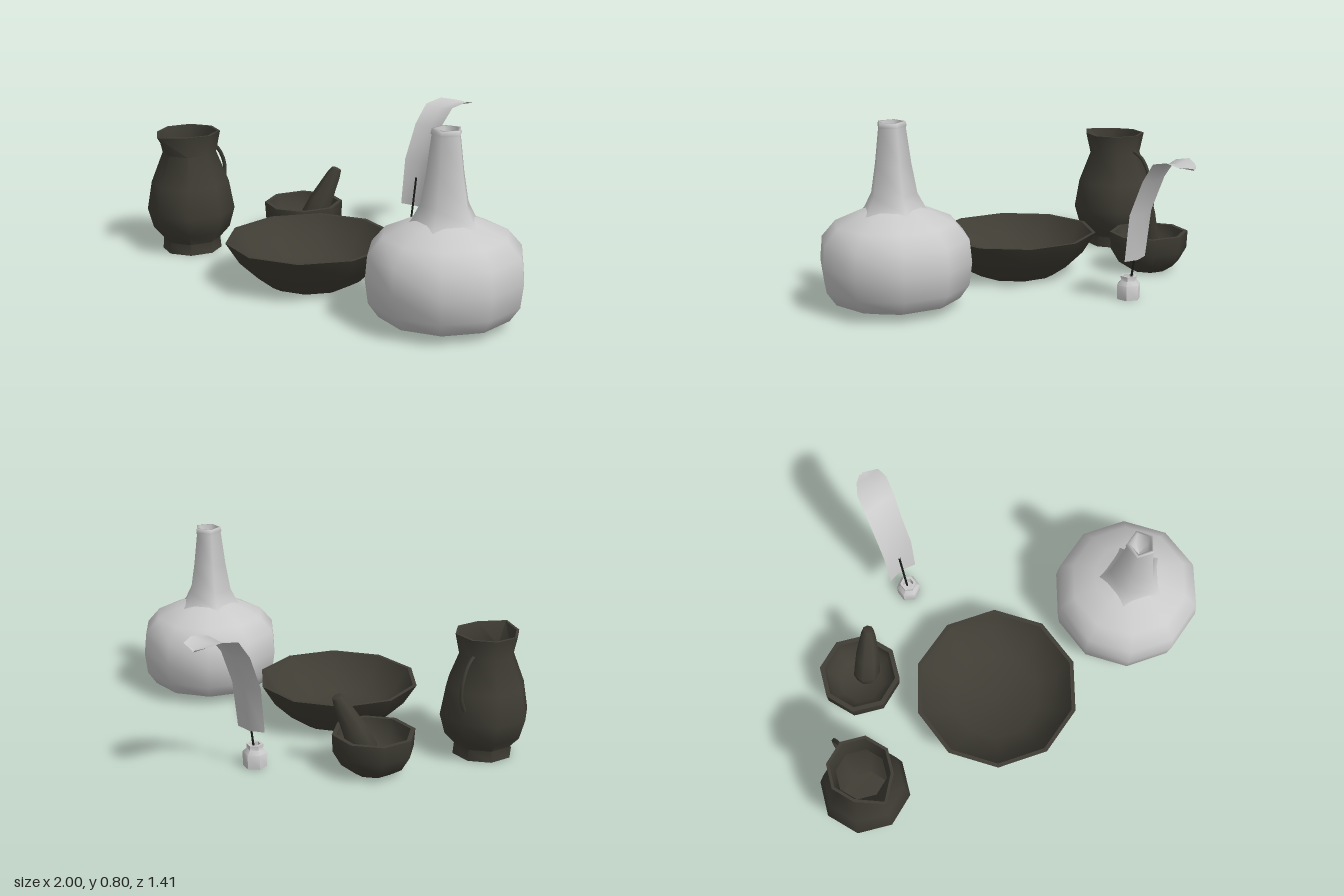
import * as THREE from 'three';
import { toCreasedNormals } from 'three/addons/utils/BufferGeometryUtils.js';

const material = (name, color, side = THREE.FrontSide) => {
  const m = new THREE.MeshStandardMaterial({ color, side });
  m.name = name;
  return m;
};

export function createModel() {
  const group = new THREE.Group();
  const dark = material('dark stone', 0x3f3d34);
  const pale = material('pale grey', 0xcacaca, THREE.DoubleSide);
  const black = material('quill black', 0x1c1c1a);

  const add = (name, geometry, mat, x = 0, y = 0, z = 0, parent = group) => {
    const mesh = new THREE.Mesh(geometry, mat);
    mesh.name = name;
    mesh.position.set(x, y, z);
    parent.add(mesh);
    return mesh;
  };
  const lathe = (profile, sides, start = 0) =>
    new THREE.LatheGeometry(profile.map(([r, y]) => new THREE.Vector2(r, y)), sides, start);
  const creased = (geometry) => toCreasedNormals(geometry, 1.0);

  // Jug: octagonal, with the front rim vertex pulled out into a spout
  const jug = lathe([
    [0, 0], [0.135, 0], [0.13, 0.05], [0.175, 0.1], [0.2, 0.19], [0.177, 0.32], [0.122, 0.46],
    [0.143, 0.557], [0.13, 0.557], [0.11, 0.46], [0.16, 0.32], [0.18, 0.19], [0.11, 0.05], [0, 0.04],
  ], 8);
  const p = jug.attributes.position;
  for (let i = 0; i < p.count; i++) {
    if (p.getY(i) > 0.5 && p.getZ(i) > 0.12 && Math.abs(p.getX(i)) < 0.01) p.setZ(i, p.getZ(i) + 0.045);
  }
  const jugGroup = new THREE.Group();
  jugGroup.name = 'jug';
  jugGroup.position.set(-0.8, 0, 0.358);
  group.add(jugGroup);
  add('jugBody', creased(jug), dark, 0, 0, 0, jugGroup);
  const handlePath = new THREE.CatmullRomCurve3([
    [-0.11, 0.48], [-0.17, 0.45], [-0.215, 0.37], [-0.215, 0.3], [-0.185, 0.25],
  ].map(([z, y]) => new THREE.Vector3(0, y, z)));
  add('jugHandle', new THREE.TubeGeometry(handlePath, 8, 0.009, 5), dark, 0, 0, 0, jugGroup);

  // Wide bowl
  add('bowl', creased(lathe([
    [0, 0], [0.185, 0], [0.23, 0.025], [0.31, 0.1], [0.37, 0.195],
    [0.352, 0.195], [0.295, 0.11], [0.2, 0.045], [0, 0.03],
  ], 10)), dark, -0.06, 0, 0.335);

  // Mortar and leaning pestle
  add('mortar', creased(lathe([
    [0, 0], [0.085, 0], [0.14, 0.035], [0.178, 0.1], [0.183, 0.18],
    [0.162, 0.18], [0.15, 0.11], [0.1, 0.055], [0, 0.045],
  ], 8)), dark, -0.51, 0, -0.092);
  const pestle = add('pestle', creased(lathe([
    [0, 0], [0.045, 0.01], [0.062, 0.05], [0.056, 0.15], [0.034, 0.29], [0.024, 0.325], [0, 0.33],
  ], 7)), dark, -0.485, 0.05, -0.09);
  pestle.quaternion.setFromUnitVectors(
    new THREE.Vector3(0, 1, 0), new THREE.Vector3(0.105, 0.3, -0.1).normalize());

  // Round flask with a five-sided neck
  add('flaskBody', creased(lathe([
    [0, 0.005], [0.18, 0.01], [0.275, 0.04], [0.317, 0.1], [0.33, 0.2], [0.32, 0.3],
    [0.26, 0.37], [0.16, 0.415], [0.09, 0.44],
  ], 10)), pale, 0.685, 0, 0.336);
  add('flaskNeck', lathe([
    [0.18, 0.385], [0.14, 0.425], [0.105, 0.49], [0.082, 0.62], [0.062, 0.775],
    [0.066, 0.78], [0.062, 0.8], [0.05, 0.8], [0.045, 0.72], [0, 0.7],
  ], 5, Math.PI / 2), pale, 0.69, 0, 0.34);

  // Ink pot
  add('inkPot', creased(lathe([
    [0, 0], [0.052, 0], [0.054, 0.065], [0.036, 0.082], [0.037, 0.103],
    [0.025, 0.103], [0.022, 0.07], [0, 0.065],
  ], 6)), pale, -0.063, 0, -0.337);

  // Quill shaft running from the pot up the feather
  const shaft = new THREE.CatmullRomCurve3([
    new THREE.Vector3(-0.065, 0.06, -0.343),
    new THREE.Vector3(-0.065, 0.18, -0.366),
    new THREE.Vector3(-0.065, 0.315, -0.39),
  ]);
  add('quillShaft', new THREE.TubeGeometry(shaft, 4, 0.005, 5), black);

  // Feather: cross-sections [centre x, y, z, half width], slightly folded along the middle
  const rows = [
    [-0.067, 0.18, -0.375, 0.07], [-0.065, 0.39, -0.405, 0.074], [-0.062, 0.545, -0.475, 0.074],
    [-0.05, 0.628, -0.54, 0.078], [-0.03, 0.645, -0.62, 0.078], [-0.015, 0.634, -0.675, 0.058],
    [-0.028, 0.63, -0.707, 0.008],
  ];
  const positions = [], index = [];
  rows.forEach(([x, y, z, w], i) => {
    const a = rows[Math.max(i - 1, 0)], b = rows[Math.min(i + 1, rows.length - 1)];
    const length = Math.hypot(b[1] - a[1], b[2] - a[2]);
    const ny = -(b[2] - a[2]) / length, nz = (b[1] - a[1]) / length;
    for (const s of [-1, 0, 1]) {
      const fold = s === 0 ? -0.008 : 0.008 * Math.min(1, w / 0.07);
      positions.push(x + s * w, y + ny * fold, z + nz * fold);
    }
    if (i === 0) return;
    for (let c = 0; c < 2; c++) {
      const q = (i - 1) * 3 + c;
      index.push(q, q + 1, q + 4, q, q + 4, q + 3);
    }
  });
  const feather = new THREE.BufferGeometry();
  feather.setAttribute('position', new THREE.Float32BufferAttribute(positions, 3));
  feather.setIndex(index);
  feather.computeVertexNormals();
  add('feather', feather, pale);

  return group;
}
